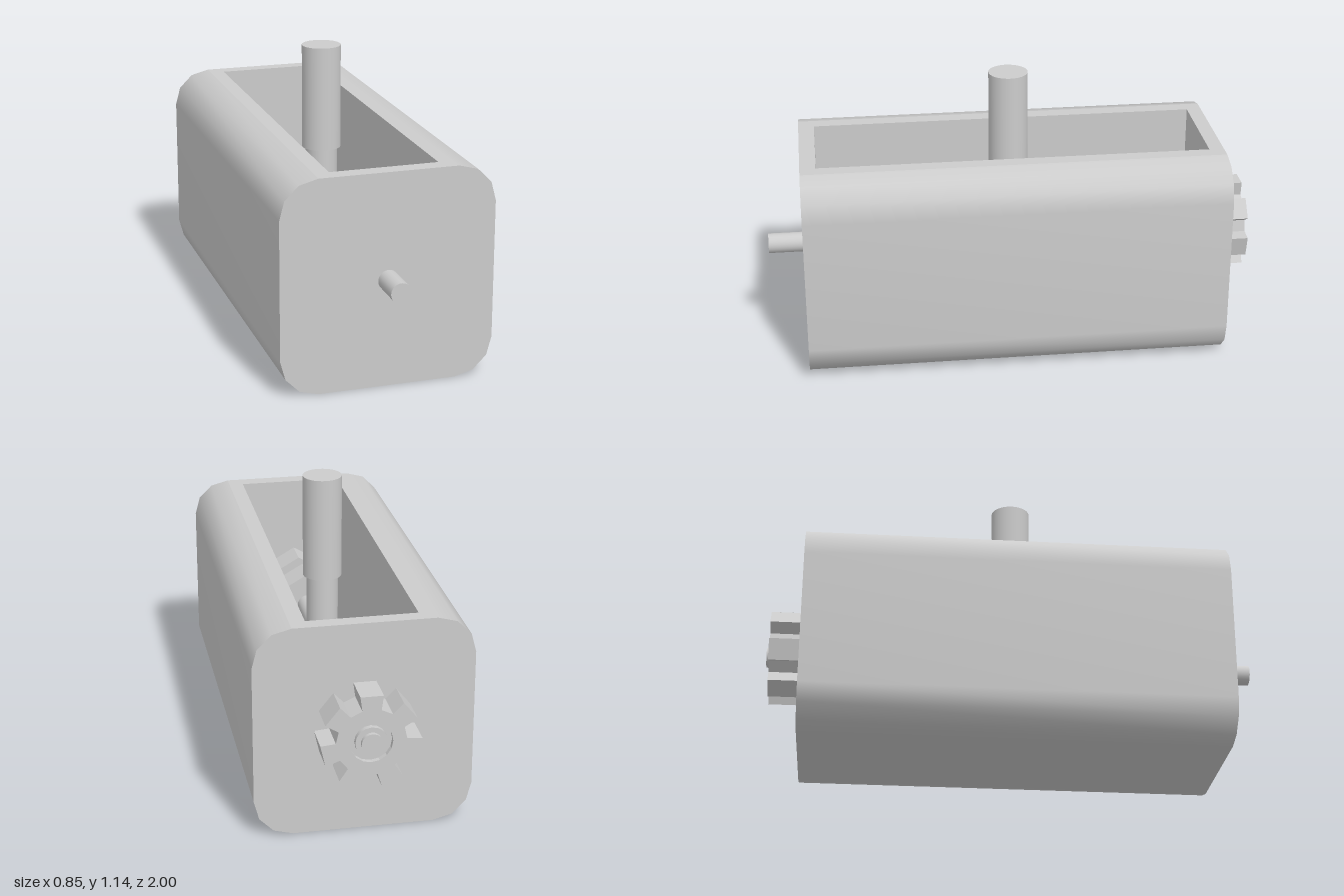
import * as THREE from 'three';

const AXIS_Y = 0.43;                 // height of the long shaft
const W = 0.425, H = 0.855, L = 0.855; // housing half width, height, half length

export function createModel() {
  const model = new THREE.Group();
  const mat = new THREE.MeshStandardMaterial({ color: 0xcccccc });
  const flat = new THREE.MeshStandardMaterial({ color: 0xcccccc, flatShading: true });

  const add = (name, geometry, material = mat, parent = model) => {
    const mesh = new THREE.Mesh(geometry, material);
    mesh.name = name;
    parent.add(mesh);
    return mesh;
  };
  // Cylinder lying along z
  const rod = (r, z0, z1, sides) => new THREE.CylinderGeometry(r, r, z1 - z0, sides)
    .rotateX(Math.PI / 2).translate(0, AXIS_Y, (z0 + z1) / 2);

  // Housing cross-section, clockwise from the top right, three facets per corner
  const housing = new THREE.Group();
  housing.name = 'housing';
  model.add(housing);
  const c = 0.15;
  const profile = [];
  [[1, 1], [1, -1], [-1, -1], [-1, 1]].forEach(([sx, sy], k) => {
    for (let i = 0; i <= 3; i++) {
      const a = Math.PI / 2 - (k + i / 3) * Math.PI / 2;
      profile.push(new THREE.Vector2(
        sx * (W - c) + c * Math.cos(a), H / 2 + sy * (H / 2 - c) + c * Math.sin(a)));
    }
  });

  // Smooth sides and underside
  const n = profile.length;
  const shell = new THREE.PlaneGeometry(1, 1, n - 1, 1);
  for (let i = 0; i < 2 * n; i++) {
    const p = profile[i % n];
    shell.attributes.position.setXYZ(i, p.x, p.y, i < n ? -L : L);
  }
  shell.computeVertexNormals();
  add('housingShell', shell, mat, housing);

  // End plates
  const face = new THREE.ShapeGeometry(new THREE.Shape(profile));
  add('frontPlate', face.clone().translate(0, 0, L), mat, housing);
  add('backPlate', face.clone().rotateY(Math.PI).translate(0, 0, -L), mat, housing);

  // Top rim around the open slot
  const rect = (T, x, y0, y1) => new T([[-x, y0], [x, y0], [x, y1], [-x, y1]]
    .map(([u, v]) => new THREE.Vector2(u, v)));
  const rim = rect(THREE.Shape, W - c, -L, L);
  rim.holes.push(rect(THREE.Path, 0.215, -0.79, 0.795));
  add('topRim', new THREE.ShapeGeometry(rim).rotateX(-Math.PI / 2).translate(0, H, 0), mat, housing);

  // Inner walls and floor: a box without its lid, turned inside out
  const floorY = 0.1;
  const cavity = new THREE.BoxGeometry(0.43, H - floorY, 1.585);
  const index = Array.from(cavity.index.array);
  index.splice(12, 6);
  cavity.setIndex(index.reverse());
  cavity.computeVertexNormals();
  cavity.translate(0, (H + floorY) / 2, -0.0025);
  add('cavity', cavity, mat, housing);

  // Long shaft through both ends
  add('shaft', rod(0.041, -1, 1, 24));

  // Hexagonal collars on the shaft
  for (const [z0, z1] of [[0.36, 0.49], [0.57, 0.7]]) {
    add('shaftCollar', rod(0.138, z0, z1, 6), flat);
  }

  // Upright post with a thinner stem down to the shaft
  add('post', new THREE.CylinderGeometry(0.08, 0.08, 0.43, 32).translate(0, 0.93, 0));
  add('postStem', new THREE.CylinderGeometry(0.065, 0.065, 0.3, 32).translate(0, 0.57, 0));

  // Seven-toothed gear on the back
  const teeth = 7, gearPoints = [];
  for (let k = 0; k < teeth; k++) {
    const mid = Math.PI / 2 + k * 2 * Math.PI / teeth;
    for (const [r, da] of [[0.135, -0.27], [0.193, -0.23], [0.193, 0.23], [0.135, 0.27]]) {
      gearPoints.push(new THREE.Vector2(r * Math.cos(mid + da), r * Math.sin(mid + da)));
    }
  }
  const gearShape = new THREE.Shape(gearPoints);
  const bore = new THREE.Path();
  bore.absarc(0, 0, 0.082, 0, Math.PI * 2, true);
  gearShape.holes.push(bore);
  const gear = new THREE.ExtrudeGeometry(gearShape,
    { depth: 0.13, bevelEnabled: false, curveSegments: 8 });
  add('gear', gear.translate(0, AXIS_Y, -0.985), flat);
  add('gearHub', rod(0.062, -0.985, -L, 16));
  add('gearWeb', rod(0.082, -0.965, -L, 16));

  return model;
}
